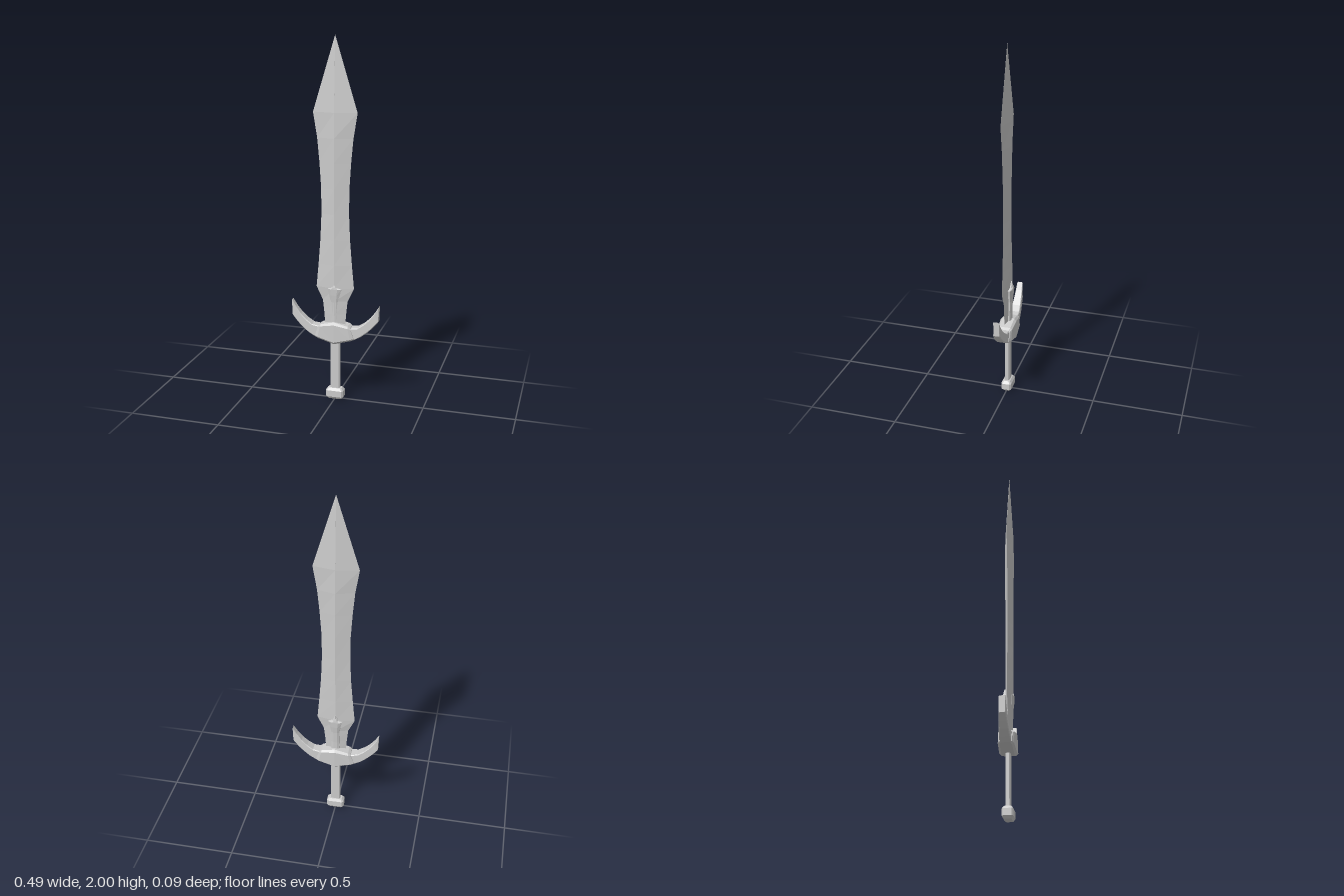
import * as THREE from 'three';

const material = new THREE.MeshStandardMaterial({ color: 0xcccccc, flatShading: true });

// Skin a list of equal-length rings of [x, y, z], counter-clockwise seen from the far end, and cap both ends
function loft(name, rings) {
  const pos = [];
  const tri = (a, b, c) => pos.push(...a, ...b, ...c);
  const n = rings[0].length;
  for (let i = 0; i + 1 < rings.length; i++) {
    for (let j = 0; j < n; j++) {
      const k = (j + 1) % n;
      const [a, b, c, d] = [rings[i][j], rings[i][k], rings[i + 1][k], rings[i + 1][j]];
      tri(a, b, c);
      tri(a, c, d);
    }
  }
  const first = rings[0], last = rings[rings.length - 1];
  for (let j = 1; j + 1 < n; j++) {
    tri(first[0], first[j + 1], first[j]);
    tri(last[0], last[j], last[j + 1]);
  }
  const geometry = new THREE.BufferGeometry();
  geometry.setAttribute('position', new THREE.Float32BufferAttribute(pos, 3));
  geometry.computeVertexNormals();
  const mesh = new THREE.Mesh(geometry, material);
  mesh.name = name;
  return mesh;
}

// Chamfered slab section between a lower and an upper point, of half depth h
function slabRing([bx, by, tx, ty, h, c]) {
  const s = c / Math.hypot(tx - bx, ty - by);
  const at = (t, z) => [bx + (tx - bx) * t, by + (ty - by) * t, z];
  return [at(0, c - h), at(s, -h), at(1 - s, -h), at(1, c - h),
    at(1, h - c), at(1 - s, h), at(s, h), at(0, h - c)];
}
const mirror = (rows) => rows.map(([bx, by, tx, ty, h, c]) => [-bx, by, -tx, ty, h, c]).reverse();

// Horizontal chamfered rectangle
function blockRing([y, w, d, c]) {
  return [[w, y, d - c], [w, y, c - d], [w - c, y, -d], [c - w, y, -d],
    [-w, y, c - d], [-w, y, d - c], [c - w, y, d], [w - c, y, d]];
}

export function createModel() {
  const sword = new THREE.Group();
  sword.name = 'sword';

  // Blade: diamond sections of [height, half width, half thickness]
  const bladeRows = [
    [0.40, 0.055, 0.018], [0.50, 0.062, 0.019], [0.575, 0.070, 0.020], [0.65, 0.106, 0.022],
    [0.78, 0.094, 0.022], [0.92, 0.083, 0.022], [1.06, 0.077, 0.022], [1.20, 0.078, 0.023],
    [1.34, 0.087, 0.024], [1.47, 0.099, 0.025], [1.605, 0.121, 0.023], [2.0, 0.0005, 0.0005],
  ];
  const blade = loft('blade', bladeRows.map(([y, w, d]) => [[w, y, 0], [0, y, -d], [-w, y, 0], [0, y, d]]));
  blade.position.z = 0.005;
  sword.add(blade);

  // Raised spearhead ornament at the root of the blade: [height, half width, half thickness]
  const ornamentRows = [
    [0.42, 0.026, 0.021], [0.50, 0.022, 0.021], [0.57, 0.023, 0.024], [0.61, 0.030, 0.028],
    [0.645, 0.039, 0.030], [0.655, 0.016, 0.029], [0.69, 0.002, 0.021],
  ];
  sword.add(loft('bladeOrnament', ornamentRows.map(([y, w, d]) => {
    const e = d * 0.7, m = w * 0.45;
    return [[w, y, e], [w, y, -e], [m, y, -d], [-m, y, -d], [-w, y, -e], [-w, y, e], [-m, y, d], [m, y, d]];
  })));

  // Guard, turned very slightly about the blade axis
  const guard = new THREE.Group();
  guard.name = 'guard';
  guard.rotation.y = 0.01;
  guard.position.z = -0.002;
  sword.add(guard);

  // Guard centre: [lower x, y, upper x, y, half depth, chamfer]
  const centreSide = [
    [0.094, 0.357, 0.076, 0.439, 0.041, 0.010],
    [0.113, 0.364, 0.090, 0.430, 0.033, 0.008],
  ];
  guard.add(loft('guardCentre',
    [...mirror(centreSide), [0, 0.330, 0, 0.457, 0.046, 0.013], ...centreSide].map(slabRing)));

  // Curved horns sweeping up on both sides
  const horn = [
    [0.085, 0.357, 0.070, 0.422, 0.031, 0.004],
    [0.113, 0.364, 0.090, 0.427, 0.030, 0.004],
    [0.148, 0.383, 0.128, 0.432, 0.028, 0.004],
    [0.184, 0.411, 0.162, 0.455, 0.025, 0.004],
    [0.214, 0.440, 0.194, 0.485, 0.022, 0.004],
    [0.240, 0.471, 0.222, 0.522, 0.019, 0.004],
    [0.243, 0.475, 0.246, 0.562, 0.016, 0.004],
  ];
  guard.add(loft('leftHorn', horn.map(slabRing)));
  guard.add(loft('rightHorn', mirror(horn).map(slabRing)));

  // Grip and pommel: [height, half width, half depth, chamfer]
  sword.add(loft('grip', [[0.05, 0.027, 0.013, 0.006], [0.36, 0.027, 0.013, 0.006]].map(blockRing)));
  sword.add(loft('pommel', [
    [0.0, 0.038, 0.019, 0.006], [0.014, 0.050, 0.029, 0.009],
    [0.050, 0.050, 0.029, 0.009], [0.064, 0.038, 0.019, 0.006],
  ].map(blockRing)));

  return sword;
}
